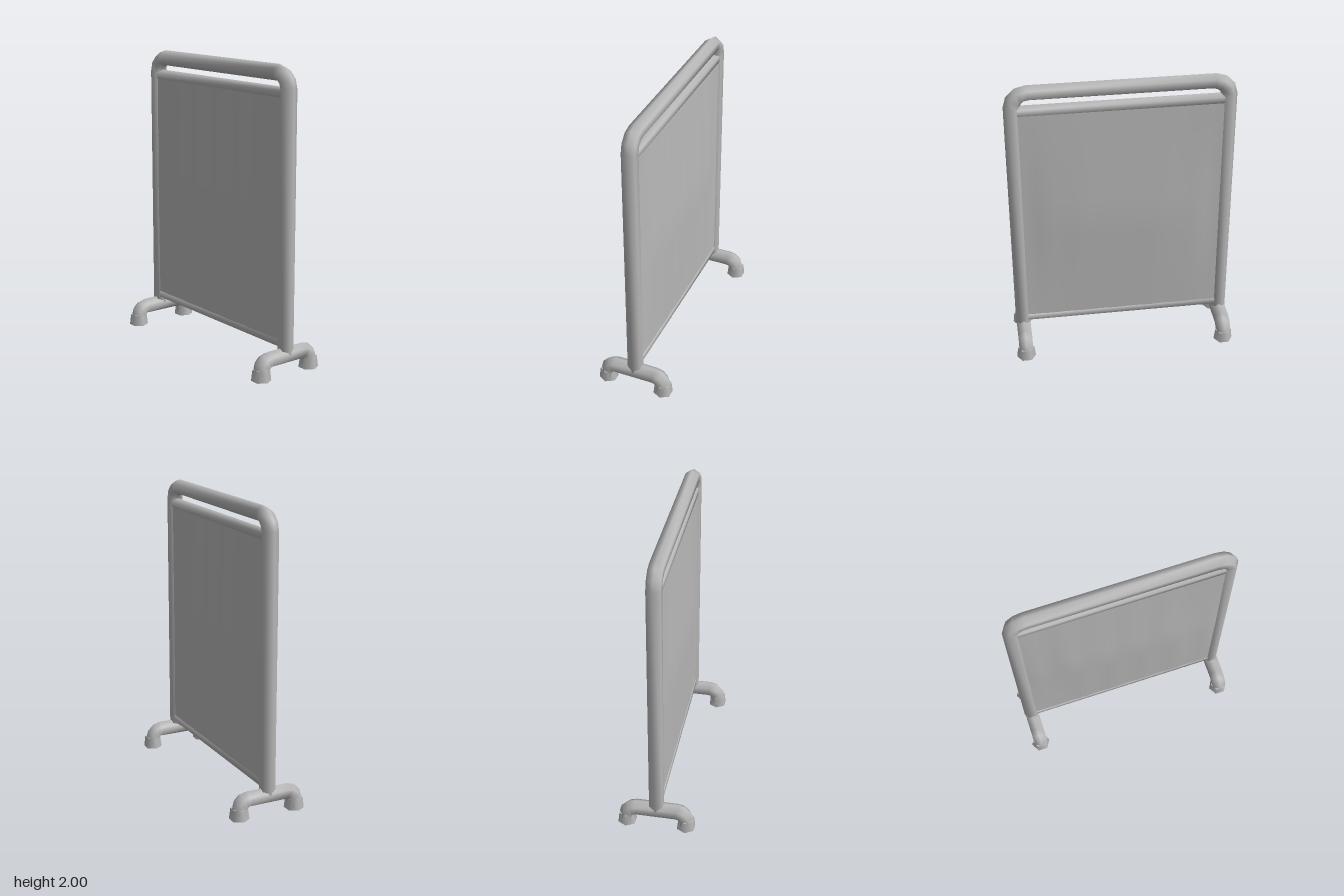
import * as THREE from 'three';

const grey = new THREE.MeshStandardMaterial({ color: 0xb8b8b8 });
grey.name = 'grey metal';
const SIDES = 6;

function indexed(positions, indices) {
  const g = new THREE.BufferGeometry();
  g.setAttribute('position', new THREE.Float32BufferAttribute(positions, 3));
  g.setIndex(indices);
  g.computeVertexNormals();
  return g;
}

// Six-sided pipe along a path in the xy plane, mitred at each point
function pipe(path, r) {
  const pos = [], idx = [];
  path.forEach((p, i) => {
    const a = path[Math.max(i - 1, 0)], b = path[Math.min(i + 1, path.length - 1)];
    const d1 = (i > 0 ? p.clone().sub(a) : b.clone().sub(p)).normalize();
    const d2 = (i < path.length - 1 ? b.clone().sub(p) : d1.clone()).normalize();
    const t = d1.clone().add(d2).normalize();
    const miter = r / t.dot(d1);
    for (let k = 0; k < SIDES; k++) {
      const ang = (k / SIDES) * Math.PI * 2, c = Math.cos(ang) * miter;
      pos.push(p.x - t.y * c, p.y + t.x * c, Math.sin(ang) * r);
      if (i < path.length - 1) {
        const k2 = (k + 1) % SIDES, o = i * SIDES, n = o + SIDES;
        idx.push(o + k, o + k2, n + k, o + k2, n + k2, n + k);
      }
    }
  });
  return indexed(pos, idx);
}

// Symmetrical arch: up the left leg, round two bends, down the right leg
function archPath(halfWidth, top, bottom, bend) {
  const half = [new THREE.Vector2(-halfWidth, bottom)];
  for (let i = 0; i <= 3; i++) {
    const a = Math.PI - (i / 3) * Math.PI / 2;
    half.push(new THREE.Vector2(-halfWidth + bend + Math.cos(a) * bend, top - bend + Math.sin(a) * bend));
  }
  return [...half, ...half.map(p => new THREE.Vector2(-p.x, p.y)).reverse()];
}

// Softly pleated panel, thickest in the middle; side is +1 for front, -1 for back
function panelFace(side) {
  const cols = 12, rows = 12, pos = [], idx = [];
  const y0 = 0.19, y1 = 1.83;
  for (let j = 0; j <= rows; j++) {
    const v = j / rows, swell = 1 - Math.abs(2 * v - 1);
    for (let i = 0; i <= cols; i++) {
      const x = (i / cols - 0.5) * 1.38;
      const edge = Math.min(1, (0.69 - Math.abs(x)) / 0.345);
      const pleat = (i === 0 || i === cols) ? 0 : (i % 2 ? 1 : -1) * 0.018;
      const depth = 0.031 + 0.025 * swell * edge;
      pos.push(x, y0 + (y1 - y0) * v, side * depth + pleat * swell * (0.4 + 0.6 * edge));
      if (i < cols && j < rows) {
        const a = j * (cols + 1) + i, b = a + 1, c = a + cols + 1, d = c + 1;
        if (side > 0) idx.push(a, b, c, b, d, c);
        else idx.push(a, c, b, b, c, d);
      }
    }
  }
  return indexed(pos, idx);
}

export function createModel() {
  const group = new THREE.Group();
  const add = (name, geometry, x = 0, y = 0, z = 0) => {
    const m = new THREE.Mesh(geometry, grey);
    m.name = name;
    m.position.set(x, y, z);
    group.add(m);
    return m;
  };

  // Outer arch
  add('frame', pipe(archPath(0.705, 1.947, 0.14, 0.1), 0.053));

  // Rails that hold the panel
  const rail = pipe([new THREE.Vector2(-0.7, 0), new THREE.Vector2(0.7, 0)], 0.041);
  add('topRail', rail, 0, 1.82);
  add('bottomRail', rail, 0, 0.205);

  // Panel
  add('panelFront', panelFace(1));
  add('panelBack', panelFace(-1));

  // Feet with flared end caps
  const foot = pipe(archPath(0.2, 0.125, 0.02, 0.062), 0.055);
  const cap = new THREE.CylinderGeometry(0.057, 0.066, 0.075, SIDES, 1, false, Math.PI / 2);
  for (const s of [1, -1]) {
    const x = 0.705 * s;
    add(s > 0 ? 'leftFoot' : 'rightFoot', foot, x).rotation.y = Math.PI / 2;
    for (const z of [0.202, -0.202]) {
      add((s > 0 ? 'left' : 'right') + (z > 0 ? 'Front' : 'Back') + 'Cap', cap, x, 0.0375, z);
    }
  }
  return group;
}
